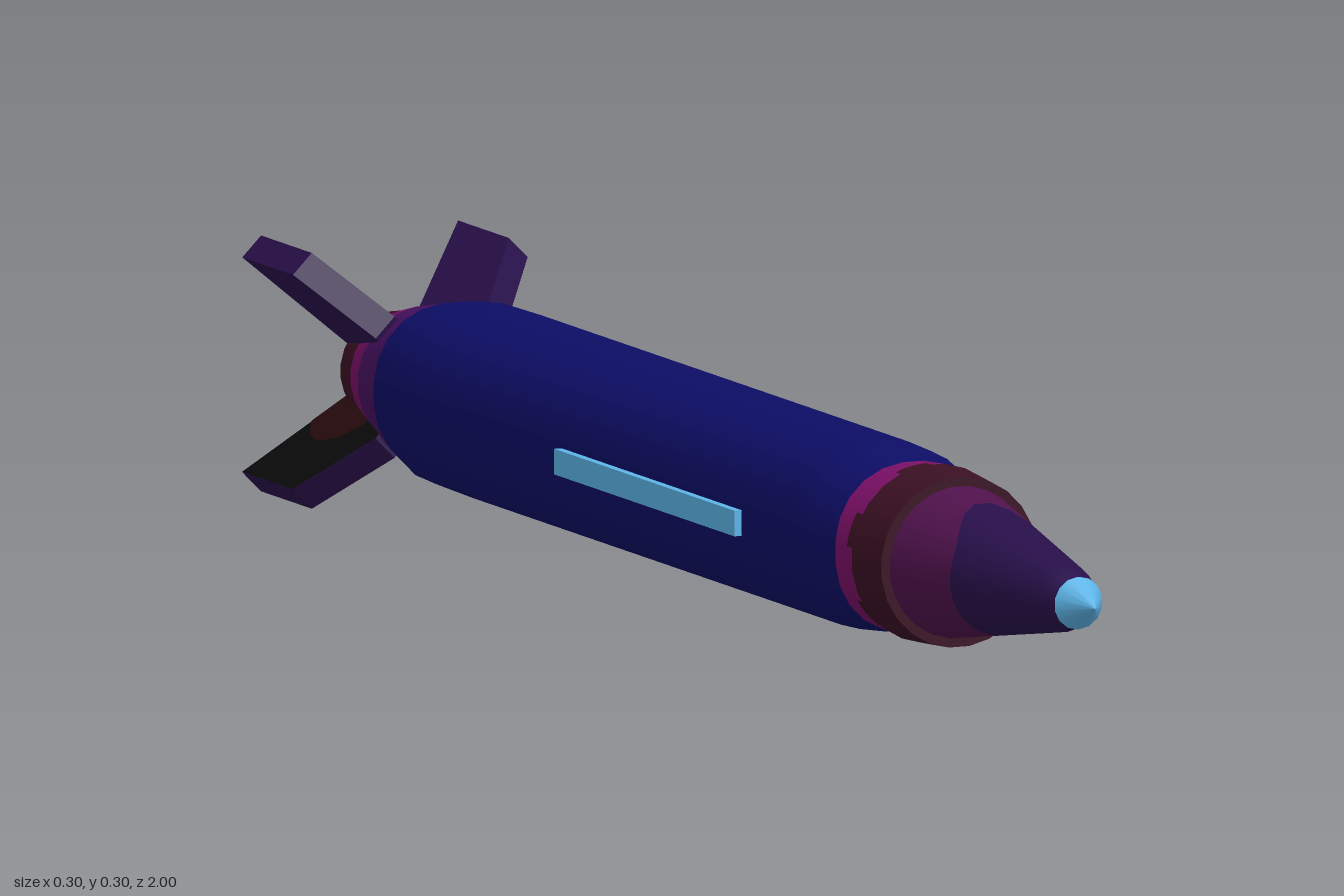
import * as THREE from 'three';

const AXIS_Y = 0.15;
const SIDES = 24;

const mat = (name, color) => {
  const m = new THREE.MeshStandardMaterial({ color });
  m.name = name;
  return m;
};

// Skin through rings listed from back to front: [z (number or function of angle), radius, squareness]
function loft(rings) {
  const pos = [], idx = [];
  const addRing = ([z, r, n = 2]) => {
    const start = pos.length / 3;
    for (let j = 0; j < SIDES; j++) {
      const a = ((j + 0.5) / SIDES) * Math.PI * 2;
      const c = Math.cos(a), s = Math.sin(a);
      const k = r / Math.pow(Math.abs(c) ** n + Math.abs(s) ** n, 1 / n);
      const zz = typeof z === 'function' ? z(a) : z;
      pos.push(c * k, s * k, zz);
    }
    return start;
  };
  const starts = rings.map(addRing);
  for (let i = 0; i < starts.length - 1; i++) {
    for (let j = 0; j < SIDES; j++) {
      const k = (j + 1) % SIDES;
      const a = starts[i] + j, b = starts[i] + k, c = starts[i + 1] + k, d = starts[i + 1] + j;
      idx.push(a, b, d, b, c, d);
    }
  }
  // flat end caps with their own vertices
  [rings[0], rings[rings.length - 1]].forEach((ring, e) => {
    const s = addRing(ring);
    const centre = pos.length / 3;
    pos.push(0, 0, typeof ring[0] === 'function' ? ring[0](0) : ring[0]);
    for (let j = 0; j < SIDES; j++) {
      const k = (j + 1) % SIDES;
      if (e === 0) idx.push(centre, s + k, s + j);
      else idx.push(centre, s + j, s + k);
    }
  });
  const g = new THREE.BufferGeometry();
  g.setAttribute('position', new THREE.Float32BufferAttribute(pos, 3));
  g.setIndex(idx);
  g.computeVertexNormals();
  return g;
}

const polygon = (pts) => new THREE.Shape(pts.map(([x, y]) => new THREE.Vector2(x, y)));

export function createModel() {
  const navy = mat('navy', 0x0d0d66);
  const magenta = mat('magenta', 0x7a0f66);
  const maroon = mat('maroon', 0x3a1022);
  const plum = mat('plum', 0x4f124c);
  const darkPurple = mat('darkPurple', 0x28104a);
  const violet = mat('violet', 0x46105f);
  const skyBlue = mat('skyBlue', 0x5cb3e6);
  const paleGrey = mat('paleGrey', 0xb4d4de);
  const black = mat('black', 0x0a0a0a);
  const darkRed = mat('darkRed', 0x280c0e);

  const model = new THREE.Group();
  model.name = 'rocket';
  const rocket = new THREE.Group();
  rocket.name = 'rocketParts';
  rocket.position.y = AXIS_Y;
  model.add(rocket);
  const add = (name, geometry, material, parent = rocket) => {
    const m = new THREE.Mesh(geometry, material);
    m.name = name;
    parent.add(m);
    return m;
  };

  // Main tube, slightly squared and tapered at both ends
  add('body', loft([
    [-0.75, 0.1, 2.2], [-0.7, 0.108, 2.4], [-0.6, 0.109, 2.45],
    [0.4, 0.109, 2.45], [0.45, 0.107, 2.4], [0.505, 0.1, 2.2],
  ]), navy);

  // Shoulder and collar
  add('shoulder', loft([[0.505, 0.1, 2.2], [0.57, 0.098]]), magenta);
  add('collar', loft([[0.56, 0.105], [0.63, 0.1]]), maroon);
  for (let i = 0; i < 6; i++) {
    const tooth = new THREE.CylinderGeometry(0.103, 0.103, 0.02, 4, 1, true, (i * Math.PI) / 3, 0.4);
    tooth.rotateX(Math.PI / 2);
    tooth.translate(0, 0, 0.552);
    add('collarTooth', tooth, maroon);
  }

  // Nose cone, with its colour edge dipping back on top
  const edge = (a) => 0.75 - 0.06 * Math.max(0, Math.sin(a)) ** 4;
  const noseRadius = (z) => 0.091 - ((z - 0.62) / 0.295) * 0.051;
  const noseRear = loft([[0.62, 0.091], [edge, 0.07]]);
  const noseFront = loft([[edge, 0.07], [0.915, 0.04], [0.958, 0.018]]);
  for (const g of [noseRear, noseFront]) {
    // keep the wavy edge on the cone surface
    const p = g.attributes.position;
    for (let i = 0; i < p.count; i++) {
      const z = p.getZ(i), r = Math.hypot(p.getX(i), p.getY(i));
      if (r > 0.01 && z > 0.63 && z < 0.9) {
        const k = noseRadius(z) / r;
        p.setXY(i, p.getX(i) * k, p.getY(i) * k);
      }
    }
    g.computeVertexNormals();
  }
  add('noseRear', noseRear, plum);
  add('noseFront', noseFront, darkPurple);

  const tip = new THREE.ConeGeometry(0.031, 0.046, 14);
  tip.rotateX(Math.PI / 2);
  tip.translate(0, 0, 0.977);
  add('noseTip', tip, skyBlue);

  // Tail sections
  add('tailTaper', loft([[-0.825, 0.085], [-0.75, 0.1, 2.2]]), violet);
  add('tailBand', loft([[-0.868, 0.074], [-0.825, 0.085]]), magenta);
  add('tailEnd', loft([[-0.912, 0.066], [-0.868, 0.074]]), maroon);

  // Waisted nozzle
  add('nozzle', loft([
    [-0.97, 0.037], [-0.955, 0.036], [-0.938, 0.021], [-0.925, 0.023], [-0.905, 0.042],
  ]), paleGrey);

  // Side rails
  for (const side of [-1, 1]) {
    const rail = new THREE.BoxGeometry(0.02, 0.03, 0.49);
    rail.translate(side * 0.108, 0, 0.025);
    add(side > 0 ? 'leftRail' : 'rightRail', rail, skyBlue);
  }
  const railTop = new THREE.BoxGeometry(0.012, 0.005, 0.38);
  railTop.translate(0.1075, 0.017, 0.08);
  add('leftRailTrim', railTop, magenta);

  // Four diagonal fins, each scorched on one face; outline is [distance from axis, z]
  const thick = 0.034;
  const finShape = polygon([[0.05, -0.79], [0.05, -0.91], [0.195, -1], [0.195, -0.862], [0.1, -0.78]]);
  const scorchShape = polygon([
    [0.05, -0.82], [0.05, -0.91], [0.105, -0.944], [0.122, -0.925], [0.127, -0.895], [0.115, -0.86], [0.09, -0.83],
  ]);
  const finGeometry = new THREE.ExtrudeGeometry(finShape, { depth: thick, bevelEnabled: false });
  finGeometry.translate(0, 0, -thick / 2);
  const darkFace = new THREE.ShapeGeometry(finShape);
  darkFace.translate(0, 0, thick / 2 + 0.0006);
  const scorchFace = new THREE.ShapeGeometry(scorchShape);
  scorchFace.translate(0, 0, thick / 2 + 0.0014);
  for (let i = 0; i < 4; i++) {
    const a = Math.PI / 4 + (i * Math.PI) / 2;
    const fin = new THREE.Group();
    fin.name = 'fin';
    const basis = new THREE.Matrix4().makeBasis(
      new THREE.Vector3(Math.cos(a), Math.sin(a), 0),
      new THREE.Vector3(0, 0, 1),
      new THREE.Vector3(Math.sin(a), -Math.cos(a), 0),
    );
    fin.quaternion.setFromRotationMatrix(basis);
    add('finBlade', finGeometry, darkPurple, fin);
    add('finDarkFace', darkFace, black, fin);
    add('finScorch', scorchFace, darkRed, fin);
    rocket.add(fin);
  }

  return model;
}
